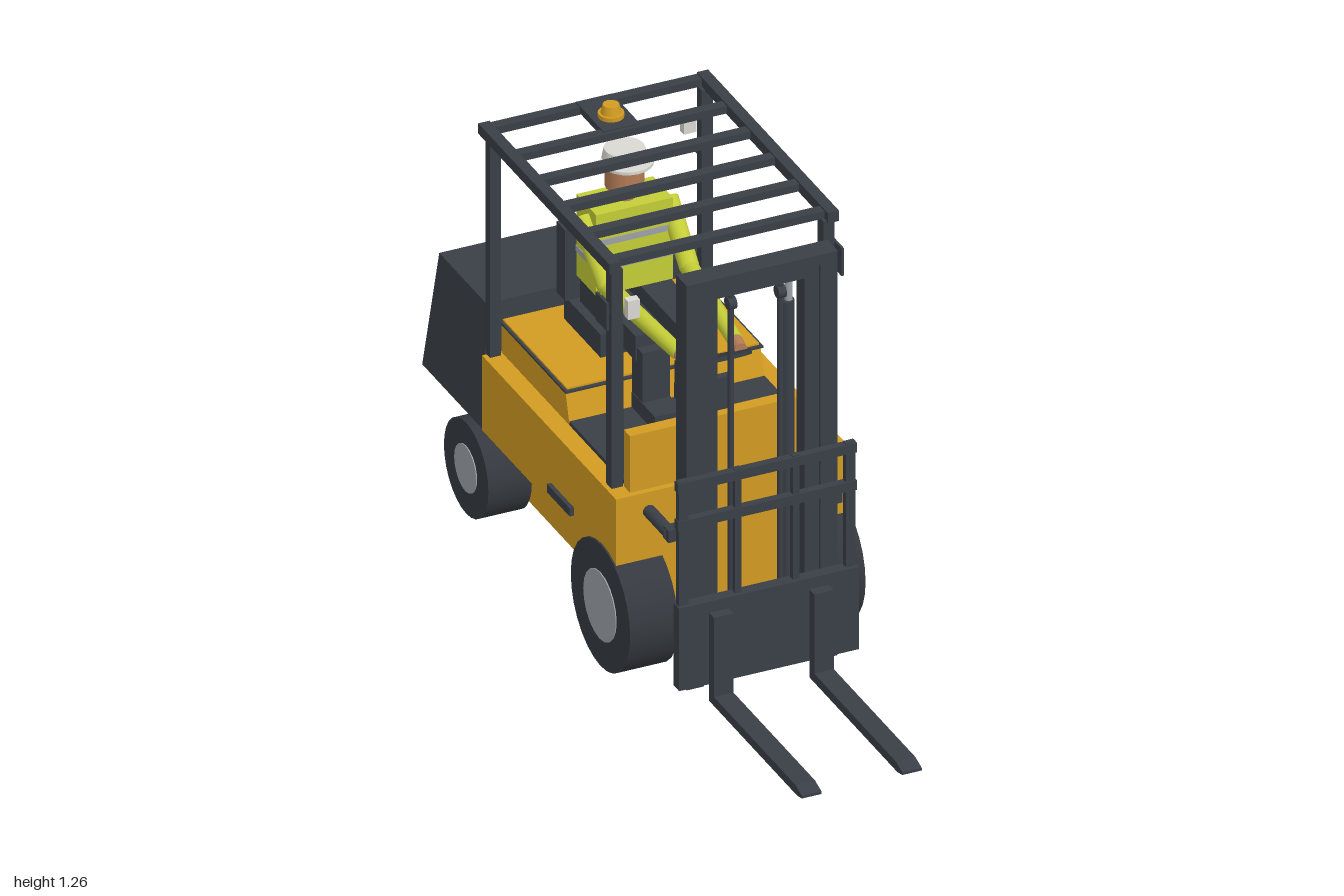
import * as THREE from 'three';

const mat = (name, color) => {
  const m = new THREE.MeshStandardMaterial({ color });
  m.name = name;
  return m;
};

export function createModel() {
  const orange = mat('bodyOrange', 0xd29b22), dark = mat('steelDark', 0x3a3f47);
  const tyre = mat('tyreBlack', 0x35393f), grey = mat('metalGrey', 0x9ca1a9);
  const lime = mat('vestLime', 0xc4cd37), skin = mat('skin', 0xb47c56);
  const red = mat('lampRed', 0xb03a2a), white = mat('lampWhite', 0xdad8d2);

  const root = new THREE.Group();
  root.name = 'forklift';
  const add = (name, geo, m) => {
    const mesh = new THREE.Mesh(geo, m);
    mesh.name = name;
    root.add(mesh);
    return mesh;
  };
  // box from its limits on each axis
  const box = (name, m, x0, x1, y0, y1, z0, z1) => {
    const b = add(name, new THREE.BoxGeometry(x1 - x0, y1 - y0, z1 - z0), m);
    b.position.set((x0 + x1) / 2, (y0 + y1) / 2, (z0 + z1) / 2);
    return b;
  };
  // box mirrored to both sides
  const pair = (name, m, x0, x1, ...rest) => {
    box(name + 'Left', m, x0, x1, ...rest);
    box(name + 'Right', m, -x1, -x0, ...rest);
  };
  // cylinder between two points
  const rod = (name, m, a, b, r, r2 = r, seg = 16) => {
    const p = new THREE.Vector3(...a), q = new THREE.Vector3(...b);
    const d = q.clone().sub(p);
    const c = add(name, new THREE.CylinderGeometry(r2, r, d.length(), seg), m);
    c.position.copy(p).add(q).multiplyScalar(0.5);
    c.quaternion.setFromUnitVectors(new THREE.Vector3(0, 1, 0), d.normalize());
    return c;
  };
  // side profile of [z, y] points extruded across x
  const profile = (name, m, pts, x0, x1) => {
    const s = new THREE.Shape(pts.map(([z, y]) => new THREE.Vector2(-z, y)));
    const g = new THREE.ExtrudeGeometry(s, { depth: x1 - x0, bevelEnabled: false });
    g.rotateY(Math.PI / 2);
    g.translate(x0, 0, 0);
    return add(name, g, m);
  };

  // chassis and body
  box('lowerChassis', orange, -0.2, 0.2, 0.075, 0.32, -0.915, 0.2);
  box('body', orange, -0.333, 0.333, 0.32, 0.545, -0.625, 0.2);
  box('frontCowl', orange, -0.285, 0.285, 0.545, 0.715, 0.145, 0.183);
  box('floorMat', dark, -0.28, 0.28, 0.545, 0.557, -0.2, 0.145);
  profile('hood', orange, [[-0.2, 0.545], [-0.225, 0.632], [-0.62, 0.632], [-0.62, 0.545]], -0.28, 0.28);
  box('hoodSeam', dark, -0.284, 0.284, 0.632, 0.638, -0.62, -0.215);
  box('hoodLid', orange, -0.276, 0.276, 0.638, 0.643, -0.62, -0.225);
  box('sidePanel', red, 0.333, 0.342, 0.395, 0.48, -0.545, -0.435);
  box('step', dark, -0.345, -0.33, 0.36, 0.385, -0.2, -0.06);

  // counterweight, narrowing towards the top
  const cw = new THREE.BoxGeometry(0.66, 0.37, 0.375);
  const cp = cw.attributes.position;
  for (let i = 0; i < cp.count; i++) {
    if (cp.getY(i) < 0) continue;
    cp.setX(i, cp.getX(i) * 0.955);
    cp.setZ(i, cp.getZ(i) + (cp.getZ(i) < 0 ? 0.073 : -0.012));
  }
  cw.computeVertexNormals();
  add('counterweight', cw, dark).position.set(0, 0.505, -0.8125);
  box('lowerCounterweight', dark, -0.2, 0.2, 0.075, 0.32, -0.998, -0.915);
  rod('towPin', tyre, [0, 0.4, -0.97], [0, 0.4, -0.998], 0.012);
  for (const s of [-1, 1]) {
    const lamp = box('tailLamp', red, s * 0.256 - 0.029, s * 0.256 + 0.029, 0.607, 0.643, -0.952, -0.93);
    lamp.rotation.x = 0.19;
  }

  // wheels
  for (const s of [-1, 1]) {
    for (const [n, z, r, hub, x0, x1] of [['front', 0.115, 0.183, 0.1, 0.2, 0.338], ['rear', -0.74, 0.137, 0.068, 0.2, 0.325]]) {
      const y = n === 'front' ? 0.184 : 0.143;
      rod(n + 'Tyre', tyre, [s * x0, y, z], [s * x1, y, z], r, r, 28);
      rod(n + 'Hub', grey, [s * (x1 - 0.02), y, z], [s * (x1 + 0.003), y, z], hub, hub, 20);
    }
  }
  pair('rearAxleBracket', dark, 0.2, 0.29, 0.262, 0.312, -0.775, -0.705);

  // overhead guard
  pair('frontPost', dark, 0.288, 0.32, 0.545, 1.2, 0.11, 0.145);
  pair('rearPost', dark, 0.288, 0.32, 0.545, 1.2, -0.632, -0.604);
  pair('roofRail', dark, 0.298, 0.33, 1.196, 1.227, -0.655, 0.152);
  for (const z of [-0.64, -0.485, -0.34, -0.19, -0.04, 0.115]) {
    box('roofBar', dark, -0.3, 0.3, 1.2, 1.222, z - 0.015, z + 0.015);
  }
  box('beaconPlate', dark, -0.052, 0.052, 1.205, 1.226, -0.65, -0.48);
  rod('beaconBase', orange, [0, 1.226, -0.545], [0, 1.238, -0.545], 0.035);
  rod('beacon', orange, [0, 1.238, -0.545], [0, 1.262, -0.545], 0.028, 0.022);

  // lamps and mirrors
  pair('headLamp', white, 0.252, 0.286, 1.06, 1.115, 0.15, 0.174);
  pair('mirror', dark, 0.334, 0.341, 1.032, 1.115, 0.09, 0.158);
  pair('mirrorArm', dark, 0.318, 0.335, 1.065, 1.08, 0.118, 0.132);
  box('rearLamp', white, 0.25, 0.286, 1.062, 1.115, -0.655, -0.632);
  rod('rearHorn', dark, [0.304, 1.003, -0.632], [0.304, 1.003, -0.665], 0.018);
  rod('grabHandle', dark, [-0.272, 0.55, 0.095], [-0.272, 1, 0.095], 0.008);
  rod('hose', dark, [0.192, 0.55, 0.095], [0.192, 0.97, 0.095], 0.007);

  // mast
  pair('outerMastRail', dark, 0.167, 0.217, 0.04, 1.257, 0.322, 0.386);
  box('outerMastTop', dark, -0.167, 0.167, 1.228, 1.257, 0.322, 0.386);
  pair('innerMastRail', dark, 0.125, 0.167, 0.06, 1.228, 0.33, 0.378);
  box('innerMastTop', dark, -0.125, 0.125, 1.192, 1.228, 0.33, 0.378);
  box('mastCrossBar', dark, -0.167, 0.167, 0.08, 0.15, 0.325, 0.36);
  for (const s of [-1, 1]) {
    rod('liftCylinder', dark, [s * 0.113, 0.06, 0.295], [s * 0.113, 1.09, 0.295], 0.02);
    rod('liftRod', grey, [s * 0.117, 1.09, 0.297], [s * 0.117, 1.195, 0.297], 0.011);
    rod('chain', dark, [s * 0.071, 0.2, 0.345], [s * 0.071, 1.195, 0.345], 0.008);
    rod('chainRoller', dark, [s * 0.06, 1.15, 0.345], [s * 0.082, 1.15, 0.345], 0.018);
    rod('tiltCylinder', dark, [s * 0.238, 0.488, 0.19], [s * 0.238, 0.488, 0.33], 0.018);
    box('tiltBracket', dark, s * 0.23 - 0.02, s * 0.23 + 0.02, 0.47, 0.506, 0.31, 0.345);
  }

  // carriage, load backrest and forks
  box('carriage', dark, -0.258, 0.258, 0.07, 0.318, 0.394, 0.428);
  for (const x of [-0.24, -0.083, 0.083, 0.24]) {
    const w = Math.abs(x) > 0.2 ? 0.014 : 0.009;
    box('backrestUpright', dark, x - w, x + w, 0.318, 0.69, 0.4, 0.417);
  }
  for (const y of [0.56, 0.673]) box('backrestBar', dark, -0.257, 0.257, y - 0.014, y + 0.014, 0.398, 0.42);
  for (const s of [-1, 1]) {
    profile('fork', dark, [[0.428, 0.285], [0.428, 0.02], [0.97, 0.02], [1, 0.027], [1, 0.035],
      [0.96, 0.047], [0.458, 0.047], [0.458, 0.285]], s * 0.144 - 0.028, s * 0.144 + 0.028);
  }

  // seat and steering
  box('seatCushion', dark, -0.13, 0.13, 0.643, 0.712, -0.555, -0.33);
  box('seatBack', dark, -0.14, 0.14, 0.712, 0.925, -0.58, -0.528);
  box('steeringColumn', dark, -0.022, 0.022, 0.55, 0.81, 0.135, 0.158);
  const axis = new THREE.Vector3(0, 0.87, -0.49).multiplyScalar(0.006).toArray();
  rod('steeringWheel', tyre, [0, 0.833 - axis[1], 0.096 - axis[2]], [0, 0.833 + axis[1], 0.096 + axis[2]], 0.098, 0.098, 24);

  // operator
  pair('thigh', dark, 0.018, 0.105, 0.712, 0.786, -0.51, -0.17);
  pair('shin', dark, 0.022, 0.1, 0.557, 0.75, -0.2, -0.136);
  pair('boot', dark, 0.02, 0.102, 0.557, 0.602, -0.2, -0.056);
  box('torso', lime, -0.11, 0.11, 0.786, 1.03, -0.522, -0.4);
  for (const y of [0.868, 0.943]) box('vestStripe', grey, -0.112, 0.112, y - 0.009, y + 0.009, -0.524, -0.398);
  for (const s of [-1, 1]) {
    const elbow = [s * 0.118, 0.862, -0.315], wrist = [s * 0.08, 0.843, 0.05];
    rod('upperArm', lime, [s * 0.125, 0.995, -0.46], elbow, 0.027);
    rod('forearm', lime, elbow, wrist, 0.025, 0.021);
    add('elbow', new THREE.SphereGeometry(0.026, 14, 10), lime).position.set(...elbow);
    rod('hand', skin, wrist, [s * 0.076, 0.841, 0.092], 0.019, 0.017);
  }
  rod('neck', skin, [0, 1.025, -0.46], [0, 1.07, -0.46], 0.028);
  rod('head', skin, [0, 1.064, -0.462], [0, 1.145, -0.462], 0.052, 0.052, 20);
  rod('helmetBrim', white, [0, 1.14, -0.445], [0, 1.148, -0.445], 0.07, 0.07, 20);
  rod('helmet', white, [0, 1.148, -0.462], [0, 1.176, -0.462], 0.06, 0.054, 20);

  return root;
}
